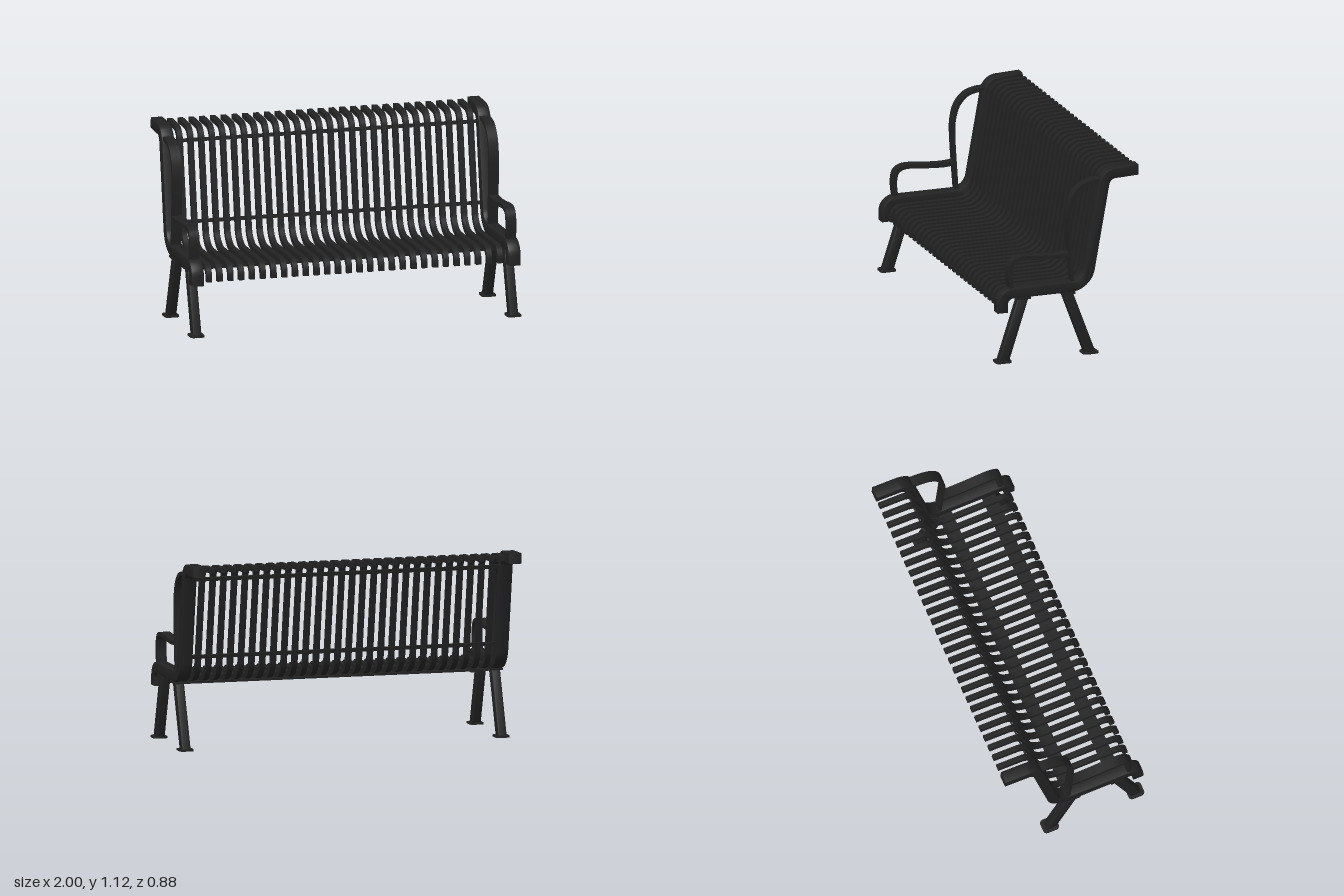
import * as THREE from 'three';
import { toCreasedNormals } from 'three/addons/utils/BufferGeometryUtils.js';
import { RoundedBoxGeometry } from 'three/addons/geometries/RoundedBoxGeometry.js';

const END_X = 0.957; // centre of each end frame

// Centreline of [z, y, tangentLength] corners joined by round bends
function bentPath(corners) {
  const v = corners.map(([z, y]) => new THREE.Vector2(z, y));
  const path = new THREE.Path().moveTo(v[0].x, v[0].y);
  for (let i = 1; i < v.length - 1; i++) {
    const t = corners[i][2];
    const toward = (p, d) => v[i].clone().add(p.clone().sub(v[i]).setLength(d));
    const a = toward(v[i - 1], t), b = toward(v[i + 1], t);
    const c = toward(v[i - 1], t * 0.45), d = toward(v[i + 1], t * 0.45);
    path.lineTo(a.x, a.y).bezierCurveTo(c.x, c.y, d.x, d.y, b.x, b.y);
  }
  const end = v[v.length - 1];
  path.lineTo(end.x, end.y);
  return path.getPoints(12);
}

// Bar of rectangular section following a side-on path; thickness(t) may vary
function bar(points, thickness, width, bevel = 0) {
  const n = points.length - 1, near = [], far = [];
  points.forEach((p, i) => {
    const dir = points[Math.min(i + 1, n)].clone().sub(points[Math.max(i - 1, 0)]).normalize();
    const normal = new THREE.Vector2(-dir.y, dir.x);
    const half = thickness(i / n) / 2 - bevel;
    near.push(p.clone().addScaledVector(normal, half));
    far.unshift(p.clone().addScaledVector(normal, -half));
  });
  const depth = width - 2 * bevel;
  const geo = new THREE.ExtrudeGeometry(new THREE.Shape([...near, ...far]), {
    depth, steps: 1, bevelEnabled: bevel > 0, bevelSize: bevel, bevelThickness: bevel, bevelSegments: 2,
  });
  geo.translate(0, 0, -depth / 2).rotateY(-Math.PI / 2);
  return toCreasedNormals(geo, 0.7);
}

const spline = (pts, n) =>
  new THREE.SplineCurve(pts.map(([z, y]) => new THREE.Vector2(z, y))).getPoints(n);

export function createModel() {
  const model = new THREE.Group();
  model.name = 'bench';
  const metal = new THREE.MeshStandardMaterial({ color: 0x222222 });
  metal.name = 'black metal';

  const add = (parent, name, geo, x = 0, y = 0, z = 0) => {
    const mesh = new THREE.Mesh(geo, metal);
    mesh.name = name;
    mesh.position.set(x, y, z);
    parent.add(mesh);
    return mesh;
  };

  // End frame, armrest and back loop shapes
  const frameGeo = bar(bentPath([
    [0.403, 0.311], [0.403, 0.42, 0.063], [-0.118, 0.42, 0.097],
    [-0.236, 1.081, 0.055], [-0.432, 1.089],
  ]), () => 0.064, 0.075, 0.006);
  const armGeo = bar(spline([
    [0.345, 0.44], [0.354, 0.53], [0.342, 0.594], [0.305, 0.62], [0.25, 0.624],
    [0.14, 0.614], [0.05, 0.61], [-0.016, 0.615],
  ], 40), () => 0.024, 0.06);
  const loopGeo = bar(spline([
    [-0.033, 0.44], [-0.02, 0.62], [-0.01, 0.8], [-0.016, 0.89], [-0.04, 0.965],
    [-0.09, 1.02], [-0.15, 1.041], [-0.205, 1.045],
  ], 48), (t) => 0.016 + 0.008 * t, 0.06);

  // Leg between two side-on points, sheared so both ends stay level
  const leg = (zBottom, zTop) => {
    const height = 0.375;
    const geo = new RoundedBoxGeometry(0.052, height, 0.066, 2, 0.008);
    const pos = geo.attributes.position;
    for (let i = 0; i < pos.count; i++) {
      const t = pos.getY(i) / height + 0.5;
      pos.setZ(i, pos.getZ(i) + zBottom + (zTop - zBottom) * t);
    }
    geo.computeVertexNormals();
    return toCreasedNormals(geo, 0.7).translate(0, 0.005 + height / 2, 0);
  };
  const legs = [['frontLeg', 0.394, 0.273], ['backLeg', -0.143, -0.003]];

  // Foot plate with rounded corners
  const plate = new THREE.Shape();
  const s = 0.043, r = 0.02;
  plate.absarc(s - r, s - r, r, 0, Math.PI / 2);
  plate.absarc(r - s, s - r, r, Math.PI / 2, Math.PI);
  plate.absarc(r - s, r - s, r, Math.PI, Math.PI * 1.5);
  plate.absarc(s - r, r - s, r, Math.PI * 1.5, Math.PI * 2);
  const plateGeo = toCreasedNormals(new THREE.ExtrudeGeometry(plate, {
    depth: 0.01, bevelEnabled: false, curveSegments: 6,
  }).rotateX(-Math.PI / 2).scale(1, 1, 1.13), 0.7);

  for (const side of [-1, 1]) {
    const end = new THREE.Group();
    end.name = side > 0 ? 'leftEnd' : 'rightEnd';
    end.position.x = side * END_X;
    model.add(end);
    add(end, 'endFrame', frameGeo);
    add(end, 'armrest', armGeo);
    add(end, 'backLoop', loopGeo);
    for (const [name, zBottom, zTop] of legs) {
      add(end, name, leg(zBottom, zTop));
      add(end, name + 'FootPlate', plateGeo, 0, 0, zBottom + (zBottom > 0 ? 0.001 : 0));
    }
  }

  // Flat bars under the seat
  for (const z of [0.271, -0.005]) {
    add(model, 'seatCrossbar', new THREE.BoxGeometry(1.99, 0.013, 0.082), 0, 0.382, z);
  }

  // Thin rails behind the backrest, tilted with it
  for (const [y, z] of [[0.551, -0.161], [1.017, -0.246]]) {
    add(model, 'backRail', new THREE.BoxGeometry(1.85, 0.022, 0.01), 0, y, z).rotation.x = -0.177;
  }

  // Bent slats forming seat and back
  const slatGeo = bar(bentPath([
    [0.389, 0.318], [0.389, 0.404, 0.06], [-0.116, 0.404, 0.1],
    [-0.237, 1.088, 0.058], [-0.44, 1.094],
  ]), () => 0.03, 0.032);
  const count = 28;
  for (let i = 0; i < count; i++) {
    add(model, 'slat', slatGeo, (i - (count - 1) / 2) * 0.0651);
  }
  return model;
}
